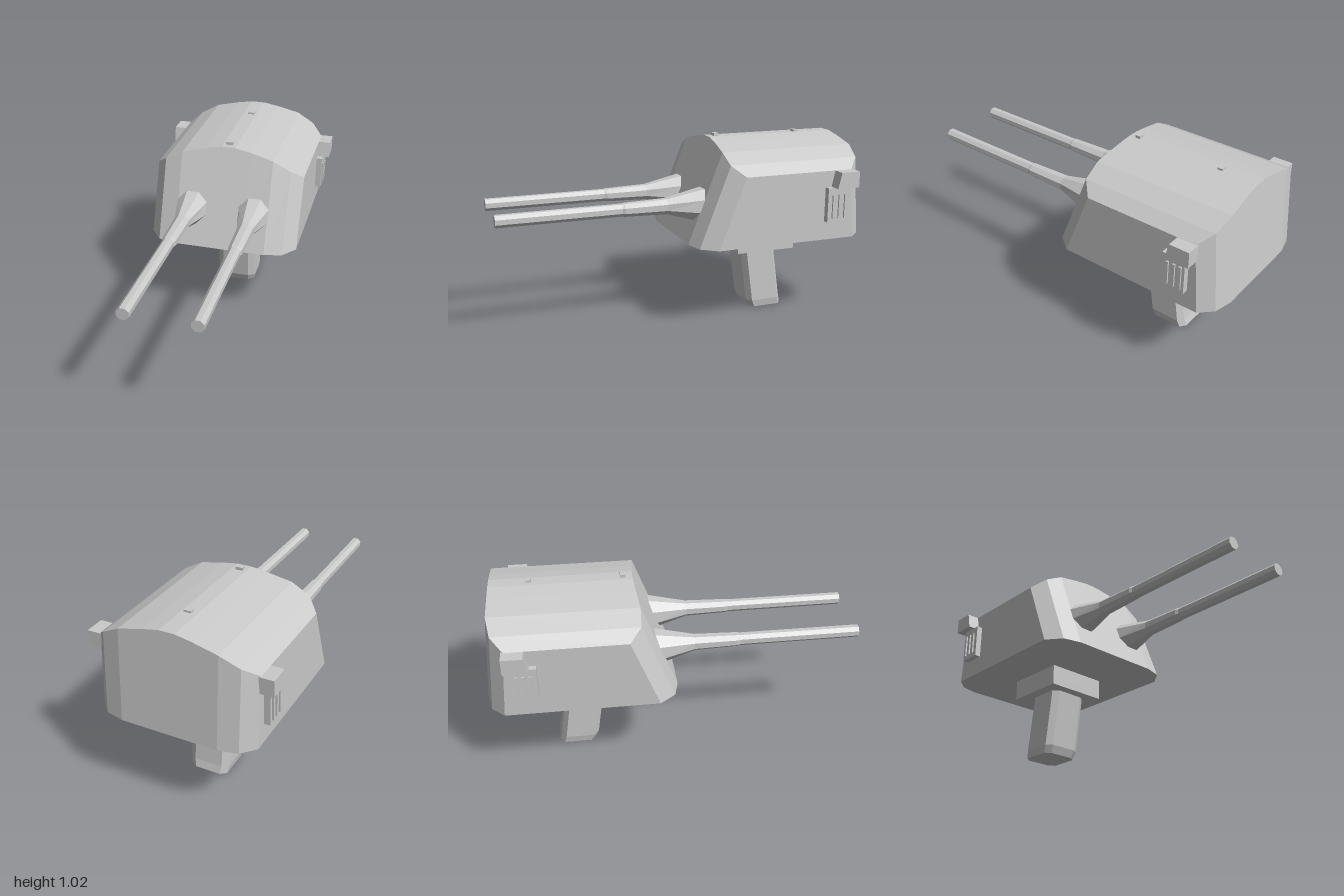
import * as THREE from 'three';

const steel = new THREE.MeshStandardMaterial({ color: 0xcacaca });
steel.name = 'light steel grey';

// Faceted solid through equal-length rings of points; rings run counter-clockwise seen from the start end
function loft(rings) {
  const pos = [];
  const tri = (a, b, c) => pos.push(...a, ...b, ...c);
  const n = rings[0].length;
  for (let i = 0; i + 1 < rings.length; i++) {
    for (let j = 0; j < n; j++) {
      const k = (j + 1) % n;
      const a = rings[i][j], b = rings[i][k], c = rings[i + 1][k], d = rings[i + 1][j];
      tri(a, d, c);
      tri(a, c, b);
    }
  }
  const first = rings[0], last = rings[rings.length - 1];
  for (let j = 1; j + 1 < n; j++) {
    tri(first[0], first[j], first[j + 1]);
    tri(last[0], last[j + 1], last[j]);
  }
  const g = new THREE.BufferGeometry();
  g.setAttribute('position', new THREE.Float32BufferAttribute(pos, 3));
  g.computeVertexNormals();
  return g;
}

function add(parent, name, geometry) {
  const m = new THREE.Mesh(geometry, steel);
  m.name = name;
  parent.add(m);
  return m;
}

// Box given by its limits
function box(parent, name, x0, x1, y0, y1, z0, z1) {
  const m = add(parent, name, new THREE.BoxGeometry(x1 - x0, y1 - y0, z1 - z0));
  m.position.set((x0 + x1) / 2, (y0 + y1) / 2, (z0 + z1) / 2);
}

const FLOOR = 0.476, FRONT_SLOPE = 0.39, BACK_SLOPE = 0.085;

// Turret house: arched roof, raked front and back, chamfered corners
function turretHouse() {
  // x, roof height, front z and back z at the floor
  const half = [
    [0.04, 1.01, 0, -1], [0.13, 0.994, 0, -1], [0.26, 0.963, 0, -1],
    [0.36, 0.91, -0.026, -0.977], [0.425, 0.857, -0.11, -0.91],
  ];
  const columns = [...half.map(([x, ...r]) => [-x, ...r]).reverse(), ...half];
  return loft(columns.map(([x, top, zf, zb]) => {
    const h = top - FLOOR;
    return [[x, FLOOR, zf], [x, top, zf - h * FRONT_SLOPE], [x, top, zb + h * BACK_SLOPE], [x, FLOOR, zb]];
  }));
}

// Eight-sided gun whose flared collar is cut to the raked front
function gunBarrel(cx) {
  const cy = 0.679;
  // z, horizontal radius, vertical radius
  const profile = [
    [null, 0.093, 0.09], [0.1, 0.046, 0.044], [0.33, 0.041, 0.037], [0.345, 0.034, 0.035], [1, 0.034, 0.034],
  ];
  return loft(profile.map(([z, rx, ry]) => Array.from({ length: 8 }, (_, i) => {
    const t = (i + 0.5) * Math.PI / 4;
    const y = cy - ry * Math.sin(t);
    return [cx + rx * Math.cos(t), y, z === null ? -(y - FLOOR) * FRONT_SLOPE - 0.005 : z];
  })));
}

// Leaning pedestal with chamfered corners and a bevelled foot
function pedestal() {
  // y, half width, front z, back z
  const levels = [[0.37, 0.113, -0.39, -0.6], [0.043, 0.113, -0.436, -0.648], [0, 0.105, -0.455, -0.66]];
  const cx = 0.034, cz = 0.025;
  return loft(levels.map(([y, w, f, b]) => [
    [w, y, f - cz], [w, y, b + cz], [w - cx, y, b], [cx - w, y, b],
    [-w, y, b + cz], [-w, y, f - cz], [cx - w, y, f], [w - cx, y, f],
  ]));
}

// Sighting hood with a raked front face
function sightHood(s) {
  const ring = (x) => [[x, 0.77, -0.76], [x, 0.857, -0.78], [x, 0.857, -0.888], [x, 0.77, -0.888]];
  const xs = [s * 0.39, s * 0.493].sort((a, b) => a - b);
  return loft(xs.map(ring));
}

export function createModel() {
  const model = new THREE.Group();
  model.name = 'gunTurret';

  add(model, 'turretHouse', turretHouse());
  box(model, 'turretRing', -0.175, 0.175, 0.361, FLOOR, -0.682, -0.333);
  add(model, 'pedestal', pedestal());

  // Paired guns, hoods and louvred side panels
  for (const s of [-1, 1]) {
    const side = s > 0 ? 'left' : 'right';
    add(model, side + 'Gun', gunBarrel(s * 0.178));
    add(model, side + 'SightHood', sightHood(s));
    const vent = new THREE.Group();
    vent.name = side + 'Vent';
    model.add(vent);
    const slab = (name, outer, y0, y1, z0, z1) =>
      box(vent, name, Math.min(s * 0.41, s * outer), Math.max(s * 0.41, s * outer), y0, y1, z0, z1);
    slab('ventPanel', 0.458, 0.58, 0.77, -0.85, -0.725);
    for (const z of [-0.757, -0.793, -0.828]) slab('ventSlat', 0.467, 0.602, 0.732, z - 0.007, z + 0.007);
  }

  // Small roof fittings
  box(model, 'frontRoofFitting', -0.022, 0.018, 1, 1.025, -0.272, -0.244);
  box(model, 'rearRoofFitting', -0.012, 0.027, 1, 1.02, -0.762, -0.734);

  return model;
}
